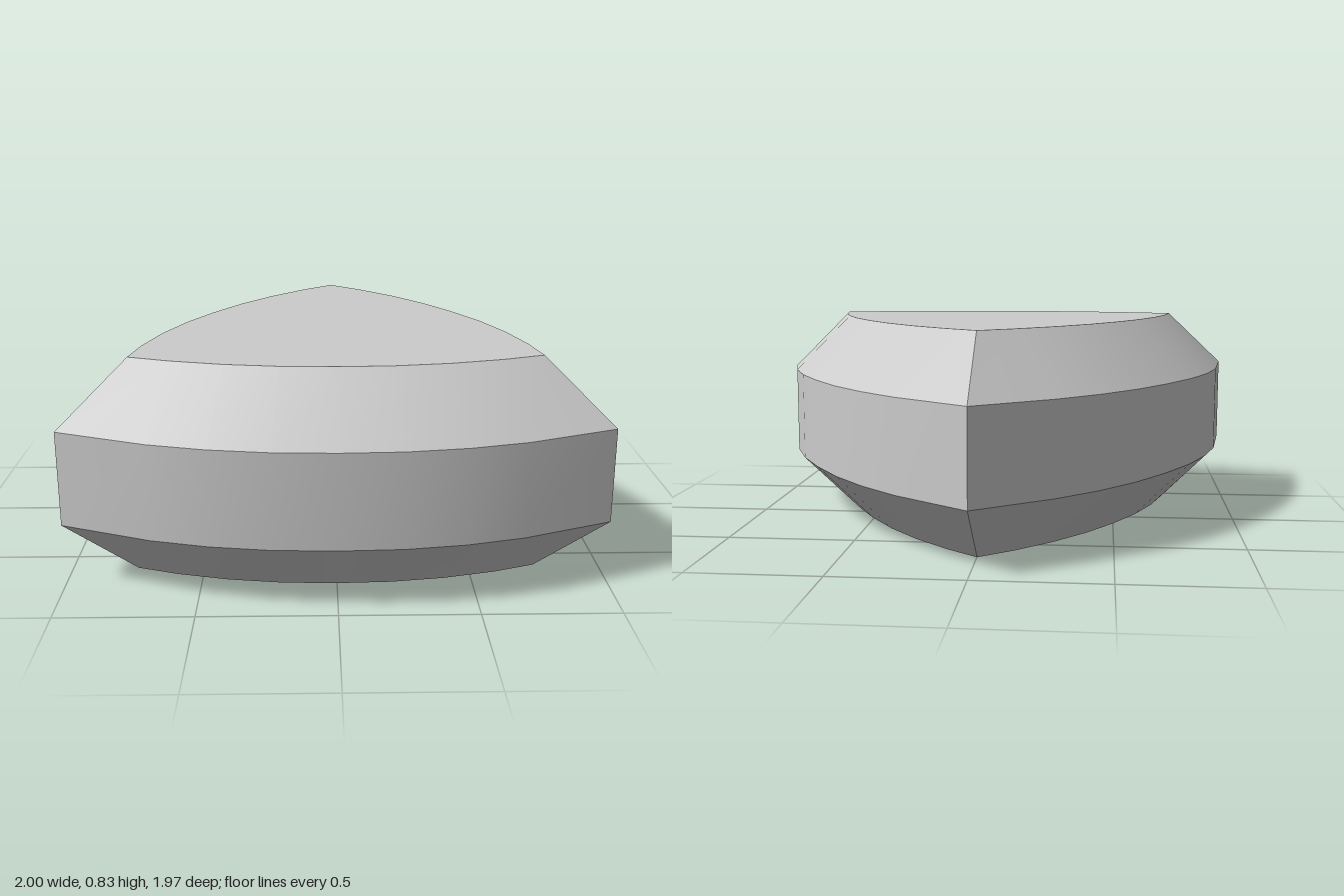
import * as THREE from 'three';
import { toCreasedNormals } from 'three/addons/utils/BufferGeometryUtils.js';

// Half of one bowed side (corner to middle), as [x, z]
const INNER = [[0.752, 0.603], [0.595, 0.66], [0.4, 0.71], [0.2, 0.739], [0, 0.747]];
const OUTER = [[1, 0.745], [0.66, 0.885], [0.45, 0.941], [0.23, 0.974], [0, 0.983]];
const CENTRE_Z = 0.168;

// Mirror the half side, then turn it three times about the triangle's centre
function ring(half, y) {
  const side = [
    ...half.map(([x, z]) => [-x, z]),
    ...half.slice(1, -1).reverse(),
  ];
  const points = [];
  for (let k = 0; k < 3; k++) {
    for (const [x, z] of side) {
      const p = new THREE.Vector3(x, 0, z - CENTRE_Z);
      p.applyAxisAngle(new THREE.Vector3(0, 1, 0), (k * Math.PI * 2) / 3);
      points.push(p.add(new THREE.Vector3(0, y, CENTRE_Z)));
    }
  }
  return points;
}

export function createModel() {
  const group = new THREE.Group();
  group.name = 'bevelledRoundedTriangle';

  const rings = [ring(INNER, 0), ring(OUTER, 0.238), ring(OUTER, 0.595), ring(INNER, 0.83)];
  const n = rings[0].length;
  const vertices = rings.flat();
  const index = [];

  // Lower bevel, upright wall and upper bevel
  for (let r = 0; r < 3; r++) {
    for (let i = 0; i < n; i++) {
      const j = (i + 1) % n;
      const a = r * n + i, b = r * n + j;
      index.push(a, b, b + n, a, b + n, a + n);
    }
  }

  // Flat bottom and top caps
  const bottom = vertices.push(new THREE.Vector3(0, 0, CENTRE_Z)) - 1;
  const top = vertices.push(new THREE.Vector3(0, 0.83, CENTRE_Z)) - 1;
  for (let i = 0; i < n; i++) {
    const j = (i + 1) % n;
    index.push(bottom, j, i, top, 3 * n + i, 3 * n + j);
  }

  const geometry = new THREE.BufferGeometry().setFromPoints(vertices);
  geometry.setIndex(index);
  const body = new THREE.Mesh(
    toCreasedNormals(geometry, Math.PI / 7),
    new THREE.MeshStandardMaterial({ color: 0xcccccc }),
  );
  body.name = 'body';
  group.add(body);
  return group;
}
